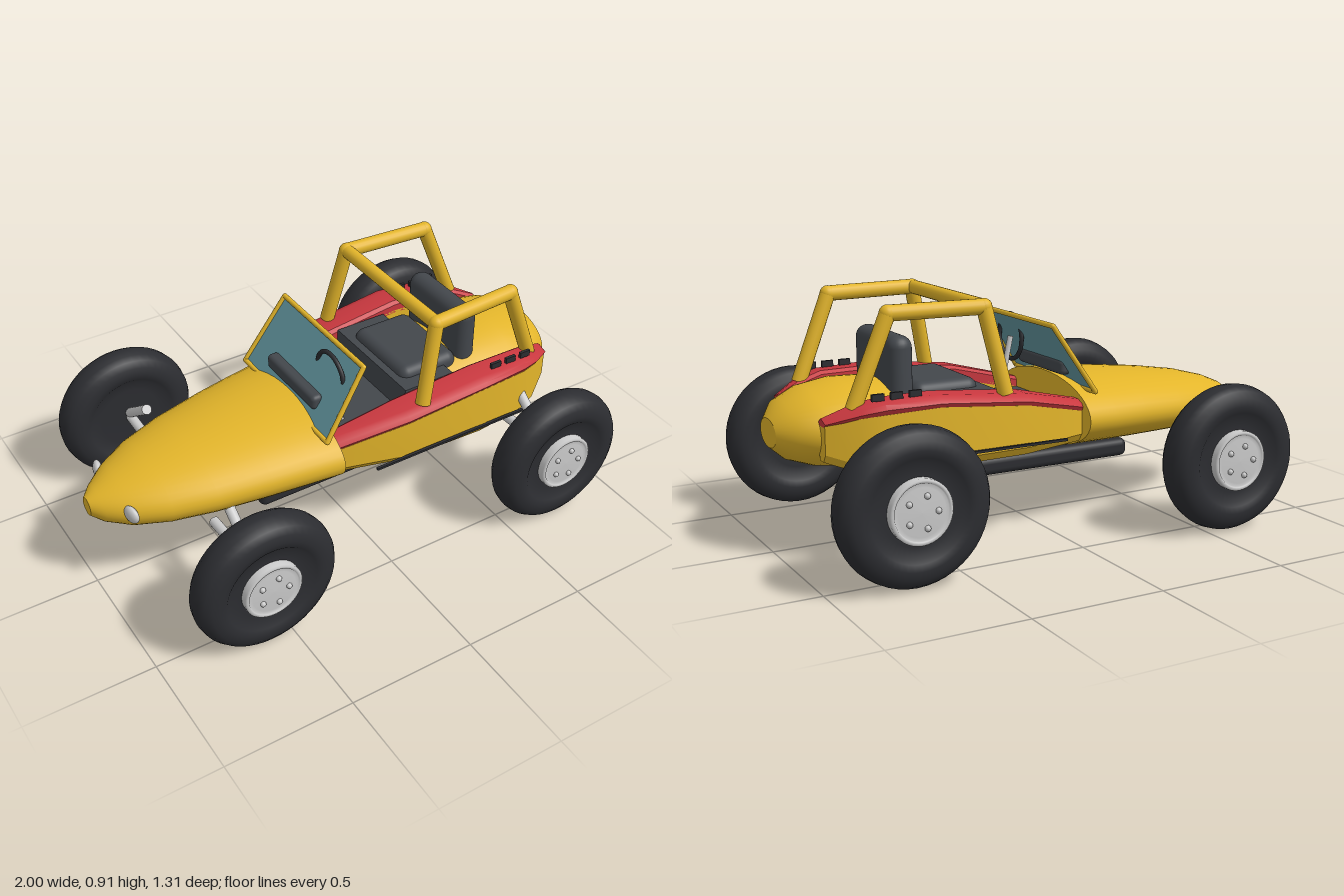
import * as THREE from 'three';
import { toCreasedNormals } from 'three/addons/utils/BufferGeometryUtils.js';
import { RoundedBoxGeometry } from 'three/addons/geometries/RoundedBoxGeometry.js';

const mat = (color, side = THREE.FrontSide) => new THREE.MeshStandardMaterial({ color, side });
const YELLOW = mat(0xe3b52a), RED = mat(0xc9383f), TYRE = mat(0x2c2d31), SEAT = mat(0x43474c);
const METAL = mat(0xcccccc), GLASS = mat(0x659aa3, THREE.DoubleSide);
const V = (x, y, z) => new THREE.Vector3(x, y, z);

// Skin over rings of [z, y] points placed along x, closed at both ends
function loft(rings, crease) {
  const pos = [], idx = [], n = rings[0].pts.length, last = rings.length - 1;
  rings.forEach(r => r.pts.forEach(([z, y]) => pos.push(r.x, y, z)));
  for (let k = 0; k < last; k++) for (let i = 0; i < n; i++) {
    const a = k * n + i, b = k * n + (i + 1) % n;
    idx.push(a, a + n, b, b, a + n, b + n);
  }
  [0, last].forEach(k => {
    const base = pos.length / 3;
    rings[k].pts.forEach(([z, y]) => pos.push(rings[k].x, y, z));
    for (let i = 1; i < n - 1; i++) {
      if (k === 0) idx.push(base, base + i, base + i + 1);
      else idx.push(base, base + i + 1, base + i);
    }
  });
  const g = new THREE.BufferGeometry();
  g.setAttribute('position', new THREE.Float32BufferAttribute(pos, 3));
  g.setIndex(idx);
  g.computeVertexNormals();
  return crease ? toCreasedNormals(g, crease) : g;
}

// Oval ring from half width, bottom and top heights
function oval([x, hw, y0, y1], n = 40) {
  const pts = [];
  for (let i = 0; i < n; i++) {
    const t = i / n * Math.PI * 2;
    pts.push([hw * Math.cos(t), (y0 + y1) / 2 + (y1 - y0) / 2 * Math.sin(t)]);
  }
  return { x, pts };
}

export function createModel() {
  const model = new THREE.Group();
  function add(name, geometry, material, x = 0, y = 0, z = 0, parent = model) {
    const m = new THREE.Mesh(geometry, material);
    m.name = name;
    m.position.set(x, y, z);
    parent.add(m);
    return m;
  }
  function rod(name, a, b, r, material) {
    const d = b.clone().sub(a), c = a.clone().add(b).multiplyScalar(0.5);
    const m = add(name, new THREE.CylinderGeometry(r, r, d.length(), 18), material, c.x, c.y, c.z);
    m.quaternion.setFromUnitVectors(V(0, 1, 0), d.normalize());
    return m;
  }
  const joint = (name, p, r) => add(name, new THREE.SphereGeometry(r, 18, 12), YELLOW, p.x, p.y, p.z);

  // Nose and tail shells
  add('noseCowl', loft([
    [-1, 0.035, 0.345, 0.415], [-0.96, 0.085, 0.315, 0.44], [-0.88, 0.155, 0.29, 0.473],
    [-0.76, 0.22, 0.282, 0.505], [-0.6, 0.27, 0.28, 0.53], [-0.4, 0.31, 0.28, 0.552],
    [-0.25, 0.335, 0.282, 0.562], [-0.12, 0.355, 0.285, 0.568]].map(s => oval(s))), YELLOW);
  add('tailShell', loft([
    [0.44, 0.25, 0.315, 0.59], [0.6, 0.262, 0.305, 0.615], [0.74, 0.262, 0.305, 0.62],
    [0.86, 0.24, 0.32, 0.6], [0.95, 0.175, 0.35, 0.56], [1, 0.085, 0.395, 0.5]].map(s => oval(s))), YELLOW);

  // Underside tray and cockpit floor
  add('underTray', new RoundedBoxGeometry(0.94, 0.07, 0.4, 3, 0.025), TYRE, 0.08, 0.265, 0);
  add('cockpitFloor', new THREE.BoxGeometry(0.56, 0.12, 0.46), SEAT, 0.16, 0.4, 0);

  // x, inner z, outer z, bottom of pod, bottom and top of red deck
  const stations = [
    [-0.12, 0.21, 0.30, 0.34, 0.45, 0.5], [0.15, 0.24, 0.375, 0.34, 0.515, 0.565],
    [0.5, 0.25, 0.388, 0.34, 0.55, 0.598], [0.7, 0.25, 0.365, 0.34, 0.54, 0.595],
    [0.78, 0.23, 0.335, 0.345, 0.53, 0.575], [0.885, 0.2, 0.265, 0.38, 0.505, 0.53]];
  for (const s of [1, -1]) {
    const side = s > 0 ? 'left' : 'right';
    const mirror = pts => s > 0 ? pts : pts.map(([z, y]) => [-z, y]).reverse();

    // Side pods with red decks
    add(side + 'SidePod', loft(stations.map(([x, zi, zo, b, r]) => ({
      x, pts: mirror([[zo - 0.008, b + 0.03], [zo - 0.008, r + 0.01], [zi, r + 0.01], [zi, b], [zo - 0.03, b]])
    })), 0.5), YELLOW);
    add(side + 'RedDeck', loft(stations.map(([x, zi, zo, , r, t]) => ({
      x, pts: mirror([[zo, (r + t) / 2], [zo - 0.012, t - 0.01], [zo - 0.04, t], [zi + 0.015, t],
        [zi, t - 0.012], [zi, r], [zo - 0.015, r]])
    })), 0.6), RED);
    add(side + 'SillStrip', new THREE.BoxGeometry(0.7, 0.009, 0.012), TYRE, 0.35, 0.385, s * 0.384);
    for (let i = 0; i < 3; i++)
      add(side + 'DeckVent', new THREE.BoxGeometry(0.045, 0.025, 0.012), TYRE, 0.578 + i * 0.07, 0.607, s * 0.325);

    // Roll cage side
    const cage = [V(0.23, 0.57, s * 0.337), V(0.297, 0.885, s * 0.302), V(0.655, 0.885, s * 0.278), V(0.785, 0.56, s * 0.266)];
    for (let i = 0; i < 3; i++) rod(side + 'CageTube', cage[i], cage[i + 1], 0.029, YELLOW);
    joint(side + 'CageFrontJoint', cage[1], 0.03);
    joint(side + 'CageRearJoint', cage[2], 0.03);

    // Headlights
    const lamp = add(side + 'Headlight', new THREE.SphereGeometry(1, 20, 14), METAL, -0.89, 0.4, s * 0.147);
    lamp.scale.set(0.018, 0.034, 0.038);
    lamp.rotation.y = s * 0.25;

    // Wheels and suspension arms
    for (const x of [-0.595, 0.705]) {
      const end = x < 0 ? 'front' : 'rear';
      rod(end + 'UpperArm', V(x, 0.305, s * 0.51), V(x, 0.435, s * 0.335), 0.02, METAL);
      rod(end + 'LowerArm', V(x, 0.285, s * 0.51), V(x, 0.267, s * 0.2), 0.02, METAL);
      const wheel = buildWheel(add);
      wheel.name = end + 'Wheel';
      wheel.position.set(x, 0.285, s * 0.565);
      if (s < 0) wheel.rotation.y = Math.PI;
      model.add(wheel);
    }
  }
  rod('cageCrossbar', V(0.297, 0.885, -0.302), V(0.297, 0.885, 0.302), 0.027, YELLOW);

  // Windscreen: thin pane in a tube frame
  const w = [V(-0.17, 0.53, 0.305), V(0, 0.787, 0.278), V(0, 0.787, -0.278), V(-0.17, 0.53, -0.305)];
  const pane = new THREE.BufferGeometry().setFromPoints(w);
  pane.setIndex([0, 1, 2, 0, 2, 3]);
  pane.computeVertexNormals();
  add('windscreen', pane, GLASS);
  w.forEach((p, i) => {
    rod('windscreenFrame', p, w[(i + 1) % 4], 0.01, YELLOW);
    joint('windscreenCorner', p, 0.01);
  });

  // Dashboard and steering
  add('dashboard', new RoundedBoxGeometry(0.05, 0.06, 0.34, 3, 0.018), SEAT, -0.125, 0.603, 0);
  const steer = add('steeringWheel', new THREE.TorusGeometry(0.09, 0.009, 10, 36), TYRE, -0.05, 0.685, 0.135);
  steer.rotation.y = Math.PI / 2;
  rod('steeringColumn', V(-0.05, 0.685, 0.135), V(0, 0.45, 0.135), 0.011, METAL);

  // Seat
  add('seatBase', new THREE.BoxGeometry(0.22, 0.16, 0.48), SEAT, 0.33, 0.49, 0);
  add('seatCushion', new RoundedBoxGeometry(0.26, 0.12, 0.36, 4, 0.04), SEAT, 0.38, 0.545, 0);
  add('seatBack', new RoundedBoxGeometry(0.092, 0.3, 0.365, 4, 0.044), SEAT, 0.553, 0.63, 0);
  return model;
}

// One wheel, outer face towards +z
function buildWheel(add) {
  const wheel = new THREE.Group();
  const profile = [[0, -0.05], [0.125, -0.05], [0.165, -0.055], [0.18, -0.068], [0.205, -0.073], [0.235, -0.069],
    [0.26, -0.053], [0.274, -0.03], [0.279, 0], [0.274, 0.03], [0.26, 0.053], [0.235, 0.069], [0.205, 0.073],
    [0.18, 0.068], [0.165, 0.055], [0.125, 0.05], [0, 0.05]].map(p => new THREE.Vector2(...p));
  add('tyre', new THREE.LatheGeometry(profile, 48), TYRE, 0, 0, 0, wheel).rotation.x = Math.PI / 2;
  const hub = [[0.114, 0.045], [0.114, 0.076], [0.108, 0.081], [0.1, 0.08], [0.097, 0.074],
    [0.085, 0.077], [0, 0.079]].map(p => new THREE.Vector2(...p));
  add('hubCap', new THREE.LatheGeometry(hub, 40), METAL, 0, 0, 0, wheel).rotation.x = Math.PI / 2;
  for (let i = 0; i < 5; i++) {
    const a = i / 5 * Math.PI * 2;
    add('wheelBolt', new THREE.SphereGeometry(0.011, 10, 8), METAL, 0.058 * Math.cos(a), 0.058 * Math.sin(a), 0.08, wheel);
  }
  return wheel;
}
